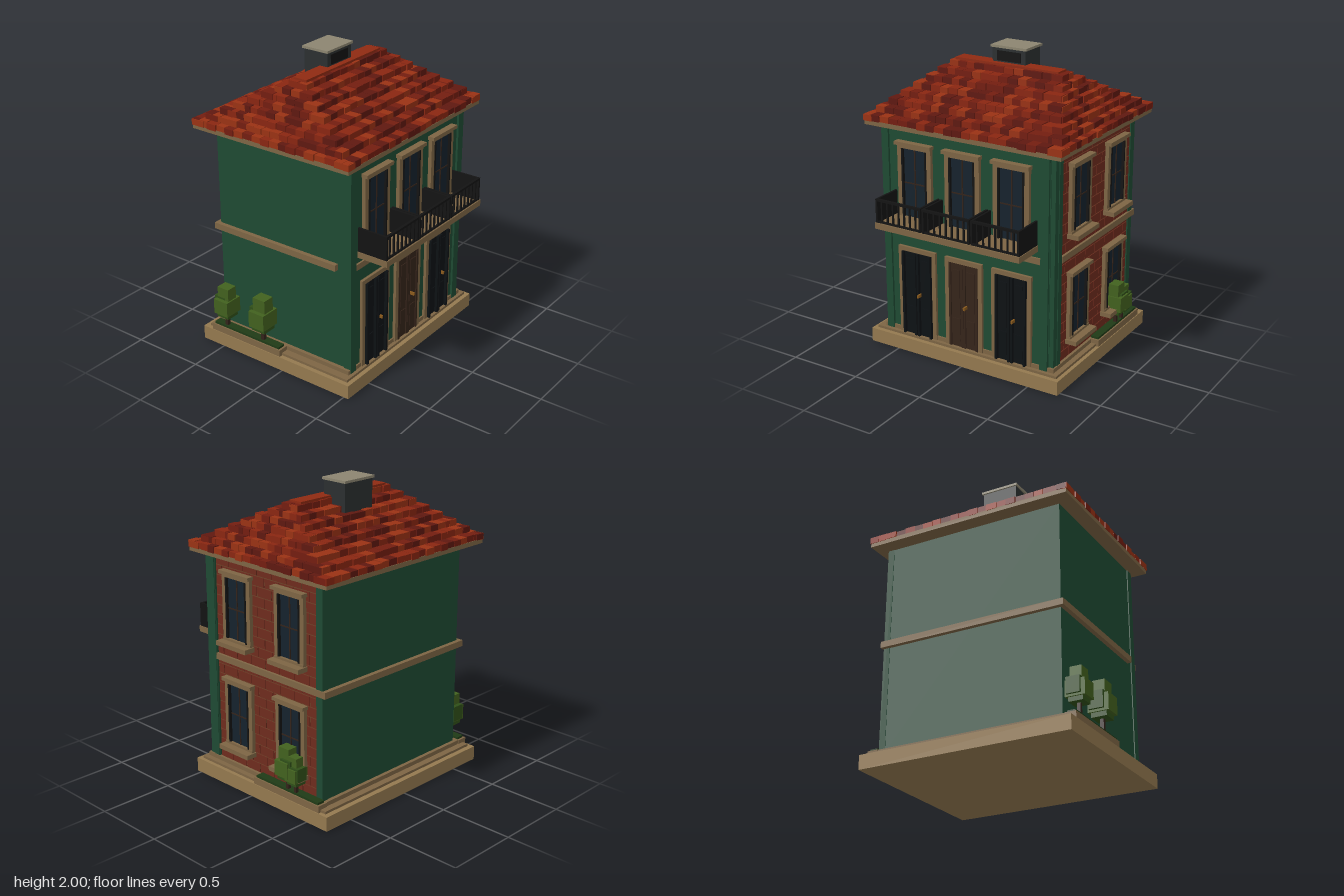
import * as THREE from 'three';
import { mergeGeometries } from 'three/addons/utils/BufferGeometryUtils.js';

const mat = (color) => new THREE.MeshStandardMaterial({ color });
const M = {
  stone: mat(0x94794f), trim: mat(0x7d6544), green: mat(0x1e4a33), brick: mat(0x6e2b1d), mortar: mat(0x69492b),
  glass: mat(0x15222c), iron: mat(0x131313), door: mat(0x0d1114), wood: mat(0x35241a), brass: mat(0x8a5a1c),
  chimney: mat(0x2b2f30), cap: mat(0x8c8570), leaf: mat(0x2f4f18), leafLight: mat(0x42611e), trunk: mat(0x33231a),
  soil: mat(0x1f3a16), ridge: mat(0x8f2a12),
};
const TILES = [0x9a3214, 0x8a2611, 0x741d10, 0x5f1810].map(mat);

let seed = 7;
const rand = () => (seed = (seed * 16807) % 2147483647) / 2147483647;

// box geometry given by its min and max corners
function boxGeo(x0, x1, y0, y1, z0, z1) {
  return new THREE.BoxGeometry(x1 - x0, y1 - y0, z1 - z0)
    .translate((x0 + x1) / 2, (y0 + y1) / 2, (z0 + z1) / 2);
}
function box(parent, name, m, ...b) {
  const mesh = new THREE.Mesh(boxGeo(...b), m);
  mesh.name = name;
  parent.add(mesh);
}
function addGroup(parent, name, x = 0, y = 0, z = 0, turn = 0) {
  const g = new THREE.Group();
  g.name = name;
  g.position.set(x, y, z);
  g.rotation.y = turn;
  parent.add(g);
  return g;
}

// frame around an opening of half width w, height h, facing local +z
function frame(g, w, h, t, depth) {
  for (const s of [-1, 1]) box(g, 'jamb', M.trim, Math.min(s * w, s * (w + t)), Math.max(s * w, s * (w + t)), 0, h, 0, depth);
  box(g, 'lintel', M.trim, -w - t, w + t, h, h + t, 0, depth);
}
function windowUnit(parent, name, x, y, z, turn, w, h, sill) {
  const g = addGroup(parent, name, x, y, z, turn);
  frame(g, w, h, 0.033, 0.025);
  box(g, 'headMoulding', M.trim, -w - 0.042, w + 0.042, h + 0.022, h + 0.045, 0, 0.046);
  box(g, 'glass', M.glass, -w, w, 0, h, 0, 0.012);
  box(g, 'mullion', M.trunk, -0.004, 0.004, 0, h, 0, 0.017);
  box(g, 'transom', M.trunk, -w, w, h * 0.5 - 0.004, h * 0.5 + 0.004, 0, 0.016);
  for (const s of [-1, 1]) box(g, 'sash', M.iron, s * (w - 0.006) - 0.006, s * (w - 0.006) + 0.006, 0, h, 0, 0.03);
  if (sill) box(g, 'sill', M.trim, -w - 0.042, w + 0.042, -0.045, -0.015, 0, 0.08);
  if (sill) box(g, 'sillBlock', M.trim, -w - 0.033, w + 0.033, -0.016, 0, 0, 0.03);
}
function doorUnit(parent, name, x, wooden) {
  const g = addGroup(parent, name, x, 0.115, 0.47);
  const m = wooden ? M.wood : M.door, w = wooden ? 0.11 : 0.115;
  frame(g, w, 0.585, 0.03, 0.02);
  for (const s of [-1, 1]) {
    const c = s * w / 2;
    box(g, 'leaf', m, c - w / 2 + 0.002, c + w / 2 - 0.002, 0, 0.585, 0, 0.016);
    // raised stiles and panels
    for (const e of [-1, 1]) box(g, 'stile', m, c + e * 0.046 - 0.008, c + e * 0.046 + 0.008, 0, 0.585, 0, wooden ? 0.024 : 0.036);
    for (const [a, b] of [[0.04, 0.2], [0.23, 0.54]]) box(g, 'panel', m, c - 0.028, c + 0.028, a, b, 0, 0.021);
  }
  box(g, 'knob', M.brass, 0.018, 0.03, 0.285, 0.305, 0.015, 0.055);
}

function addBalcony(parent, x0, x1) {
  const g = addGroup(parent, 'balcony');
  box(g, 'balconySlab', M.trim, x0 - 0.005, x1 + 0.005, 0.905, 0.945, 0.465, 0.69);
  box(g, 'topRail', M.iron, x0, x1, 1.09, 1.105, 0.665, 0.683);
  box(g, 'bottomRail', M.iron, x0, x1, 0.945, 0.957, 0.668, 0.68);
  for (const x of [x0, x1 - 0.014]) box(g, 'sidePanel', M.iron, x, x + 0.014, 0.945, 1.105, 0.47, 0.683);
  for (let i = 1; i < 8; i++) {
    const x = x0 + (x1 - x0) * i / 8;
    box(g, 'baluster', M.iron, x - 0.005, x + 0.005, 0.95, 1.095, 0.669, 0.679);
  }
}

// small tree of stacked blocks
function addBush(parent, x, y, z, s) {
  const g = addGroup(parent, 'bush', x, y, z);
  g.scale.setScalar(s);
  box(g, 'trunk', M.trunk, -0.012, 0.012, 0, 0.12, -0.012, 0.012);
  box(g, 'foliageLow', M.leaf, -0.05, 0.05, 0.085, 0.18, -0.05, 0.05);
  box(g, 'foliageMiddle', M.leafLight, -0.068, 0.068, 0.115, 0.225, -0.06, 0.06);
  box(g, 'foliageBack', M.leaf, -0.04, 0.055, 0.13, 0.24, -0.075, 0.02);
  box(g, 'foliageTop', M.leafLight, -0.04, 0.04, 0.22, 0.315, -0.045, 0.05);
}

function addBricks(parent) {
  const g = addGroup(parent, 'brickWall'), parts = [];
  box(g, 'mortar', M.mortar, 0.6, 0.632, 0.13, 1.535, -0.525, 0.385);
  const h = 0.066, w = 0.13;
  for (let r = 0; r < 21; r++) {
    const y = 0.14 + r * h;
    for (let z = -0.52 - (r % 2) * w / 2; z < 0.38; z += w) {
      const a = Math.max(z, -0.52), b = Math.min(z + w, 0.38);
      if (b - a > 0.02) parts.push(boxGeo(0.62, 0.637, y, y + h - 0.006, a, b - 0.006));
    }
  }
  const mesh = new THREE.Mesh(mergeGeometries(parts), M.brick);
  mesh.name = 'bricks';
  g.add(mesh);
}

function addRoof(parent) {
  const g = addGroup(parent, 'roof', 0, 0, -0.07);
  box(g, 'eaveBoard', M.trim, -0.715, 0.715, 1.53, 1.56, -0.605, 0.605);
  const lists = TILES.map(() => []);
  const rows = 8, rise = 0.04, pitch = 0.077;
  for (let i = 0; i < rows; i++) {
    const y = 1.555 + rise * i, hx = 0.722 - 0.043 * i, hz = 0.61 - pitch * i;
    box(g, 'roofCore', TILES[3], -hx + 0.015, hx - 0.015, y - 0.005, y + rise - 0.006, -hz + 0.015, hz - 0.015);
    // each course runs along the two long and two short sides
    for (const [half, out, depth, turn] of [[hx, hz, 0.095, 0], [hx, hz, 0.095, 2], [hz, hx, 0.065, 1], [hz, hx, 0.065, 3]]) {
      let a = -half;
      while (a < half - 0.001) {
        let b = a + 0.058 + rand() * 0.018;
        if (b > half - 0.03) b = half;
        const o = out - rand() * 0.01, t = y + rise + rand() * 0.006;
        const d = Math.min(depth, out);
        lists[Math.floor(rand() * 4)].push(
          boxGeo(a + 0.001, b - 0.001, y + rand() * 0.004, t, o - d, o).rotateY(turn * Math.PI / 2));
        a = b;
      }
    }
  }
  lists.forEach((l, k) => {
    const mesh = new THREE.Mesh(mergeGeometries(l), TILES[k]);
    mesh.name = 'roofTiles';
    g.add(mesh);
  });
  box(g, 'ridgeCap', M.ridge, -0.39, 0.375, 1.845, 1.892, -0.055, 0.045);
}

export function createModel() {
  const house = new THREE.Group();
  house.name = 'townHouse';

  // base and plinth
  box(house, 'baseSlab', M.stone, -0.72, 0.715, 0, 0.095, -0.675, 0.535);
  box(house, 'lowerStep', M.trim, -0.69, 0.69, 0.09, 0.112, -0.64, 0.505);
  box(house, 'plinth', M.trim, -0.64, 0.655, 0.11, 0.14, -0.595, 0.48);

  // walls, corner pilasters and string course
  box(house, 'walls', M.green, -0.615, 0.615, 0.11, 1.535, -0.57, 0.47);
  addBricks(house);
  const pilasters = [[-0.622, -0.57, 0.43, 0.485], [0.555, 0.61, 0.43, 0.485], [0.6, 0.645, 0.38, 0.465], [0.6, 0.645, -0.573, -0.52]];
  for (const [x0, x1, z0, z1] of pilasters) box(house, 'pilaster', M.green, x0, x1, 0.115, 1.535, z0, z1);
  box(house, 'sidePilasterStrip', M.green, 0.6, 0.65, 0.115, 1.535, 0.385, 0.425);
  box(house, 'stringCourse', M.trim, -0.645, 0.652, 0.823, 0.865, -0.6, 0.38);
  box(house, 'frontStringCourse', M.trim, -0.57, 0.555, 0.825, 0.865, 0.4, 0.483);

  // front doors, upper windows and balconies
  [-0.365, -0.006, 0.35].forEach((x, i) => {
    doorUnit(house, i === 1 ? 'frontDoor' : 'glazedDoor', x, i === 1);
    windowUnit(house, 'balconyWindow', x, 0.945, 0.47, 0, 0.095, 0.458, false);
  });
  for (const [a, b] of [[-0.535, -0.19], [-0.18, 0.17], [0.18, 0.525]]) addBalcony(house, a, b);

  // side windows
  for (const y of [0.285, 1.0])
    for (const z of [0.167, -0.305]) windowUnit(house, 'sideWindow', 0.637, y, z, Math.PI / 2, 0.094, 0.4, true);

  // planters and bushes on both sides
  for (const s of [-1, 1]) {
    const x0 = s > 0 ? 0.635 : -0.715, x1 = x0 + 0.075;
    const g = addGroup(house, 'planter');
    box(g, 'planterBox', M.trim, x0, x1, 0.095, 0.14, -0.6, -0.02);
    box(g, 'planting', M.soil, x0 + 0.01, x1 - 0.01, 0.13, 0.155, -0.585, -0.035);
  }
  addBush(house, -0.683, 0.145, -0.18, 1.03);
  addBush(house, -0.683, 0.145, -0.49, 0.95);
  addBush(house, 0.683, 0.145, -0.31, 0.93);
  addBush(house, 0.688, 0.145, -0.385, 0.8);

  addRoof(house);

  // chimney
  const c = addGroup(house, 'chimney');
  box(c, 'chimneyStack', M.chimney, -0.13, 0.115, 1.7, 1.986, -0.245, -0.065);
  box(c, 'chimneyOpening', M.iron, -0.095, 0.08, 1.9, 1.965, -0.07, -0.062);
  box(c, 'chimneyCap', M.cap, -0.14, 0.125, 1.984, 2.0, -0.255, -0.055);
  return house;
}
